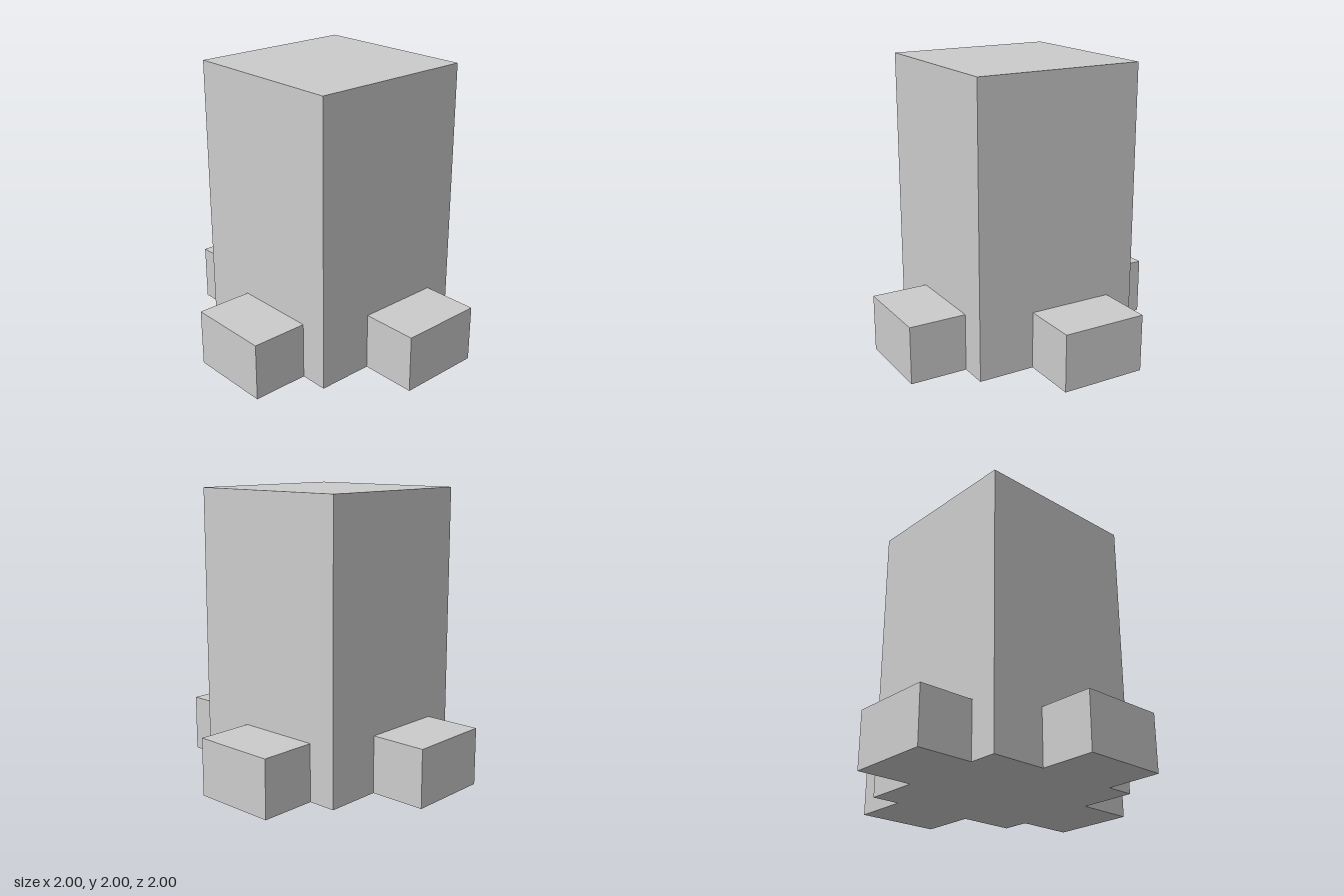
import * as THREE from 'three';

export function createModel() {
  const model = new THREE.Group();
  const material = new THREE.MeshStandardMaterial({ color: 0xcccccc, flatShading: true });

  // Tall square tower
  const tower = new THREE.Mesh(new THREE.BoxGeometry(1.2, 2, 1.2), material);
  tower.name = 'tower';
  tower.position.y = 1;
  model.add(tower);

  // Low block against each side, each offset the same way around the tower
  const blockGeometry = new THREE.BoxGeometry(0.6, 0.4, 0.4).translate(0.1, 0.2, 0.8);
  ['frontBlock', 'leftBlock', 'backBlock', 'rightBlock'].forEach((name, i) => {
    const block = new THREE.Mesh(blockGeometry, material);
    block.name = name;
    block.rotation.y = (i * Math.PI) / 2;
    model.add(block);
  });

  return model;
}
